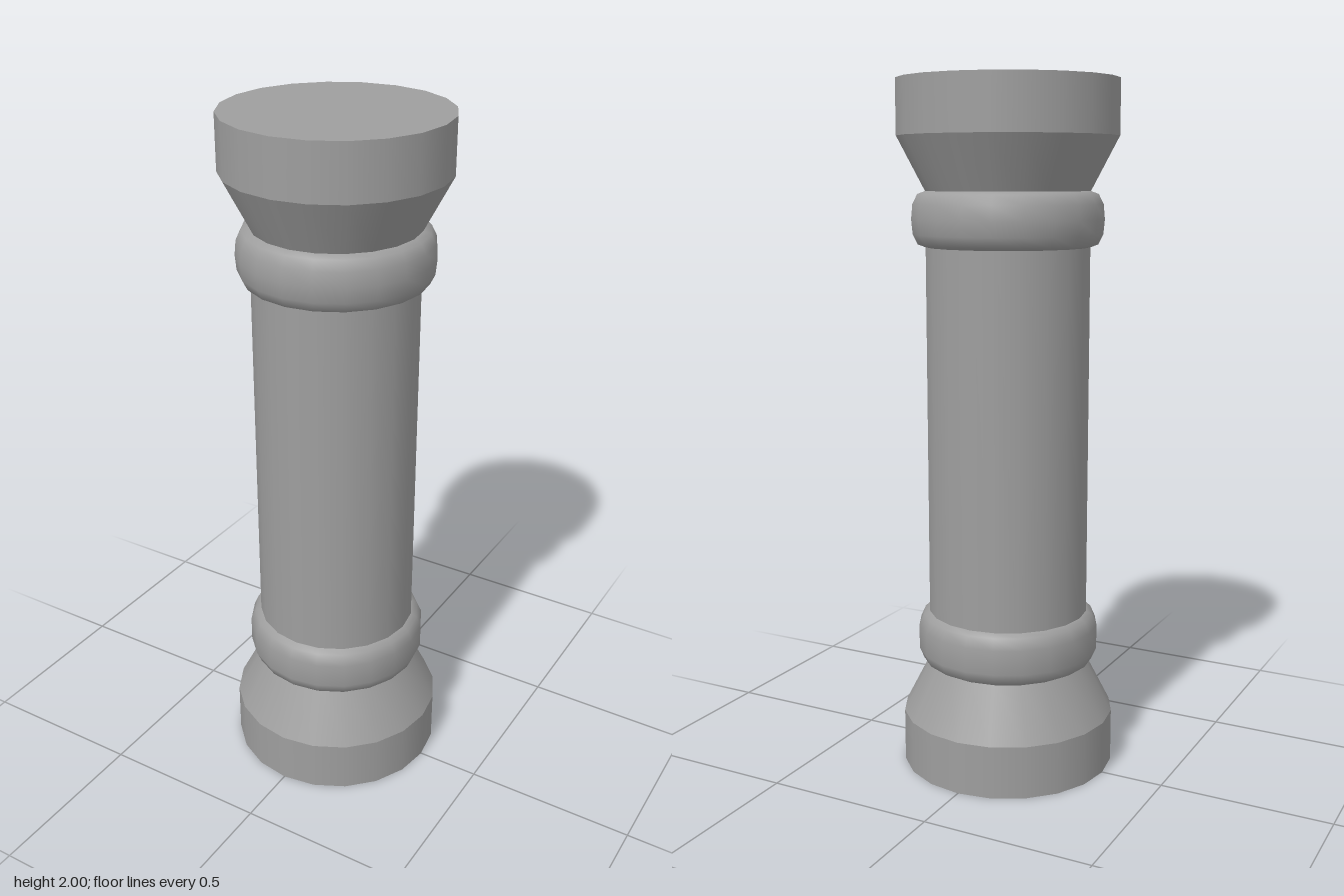
import * as THREE from 'three';

const SIDES = 20;
const material = new THREE.MeshStandardMaterial({ color: 0x9e9e9e });

// Turned band from [radius, y] points listed bottom to top
function turned(name, points) {
  const profile = points.map(([r, y]) => new THREE.Vector2(r, y));
  const mesh = new THREE.Mesh(new THREE.LatheGeometry(profile, SIDES), material);
  mesh.name = name;
  return mesh;
}

// Rounded ring: upper half of its outline, mirrored about its mid height
function ring(name, y, half) {
  const lower = half.filter(([, h]) => h > 0).map(([r, h]) => [r, -h]);
  const upper = half.slice().reverse();
  const mesh = turned(name, [...lower, ...upper]);
  mesh.position.y = y;
  return mesh;
}

export function createModel() {
  const column = new THREE.Group();
  column.name = 'column';
  const R = 0.314, r = 0.235;

  // Base: disc underside, drum and tapering neck
  const base = new THREE.Group();
  base.name = 'base';
  base.add(
    turned('baseUnderside', [[0, 0], [R, 0]]),
    turned('baseDrum', [[R, 0], [R, 0.155]]),
    turned('baseTaper', [[R, 0.155], [r, 0.309]])
  );

  // Shaft
  const shaft = turned('shaft', [[r, 0.309], [r, 1.694]]);

  // Rings at both ends of the shaft
  const lowerRing = ring('lowerRing', 0.387, [[r, 0.078], [0.253, 0.068], [0.267, 0.036]]);
  const upperRing = ring('upperRing', 1.616, [[r, 0.078], [0.257, 0.07], [0.271, 0.042], [0.275, 0]]);

  // Capital: flaring neck, drum and flat top
  const capital = new THREE.Group();
  capital.name = 'capital';
  capital.add(
    turned('capitalTaper', [[r, 1.694], [R, 1.845]]),
    turned('capitalDrum', [[R, 1.845], [R, 2]]),
    turned('capitalTop', [[R, 2], [0, 2]])
  );

  column.add(base, shaft, lowerRing, upperRing, capital);
  return column;
}
